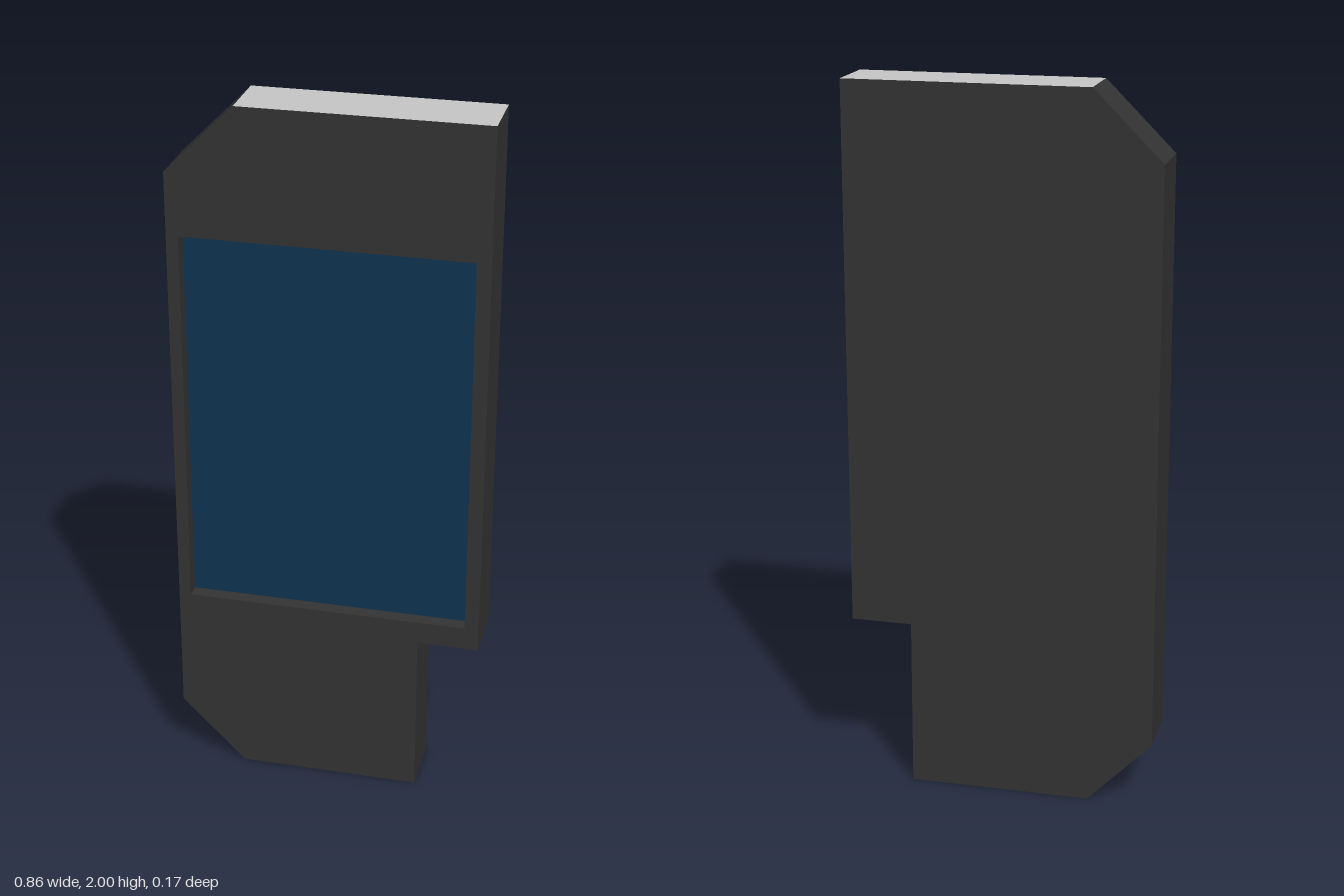
import * as THREE from 'three';
import { mergeGeometries } from 'three/addons/utils/BufferGeometryUtils.js';

const FRONT = 0.087, BACK = -0.087, RECESS = 0.047;

// Casing outline and screen opening, both counter-clockwise from the front
const outline = [
  [-0.25, 0], [0.26, 0], [0.26, 0.48], [0.432, 0.48],
  [0.432, 2], [-0.242, 2], [-0.432, 1.81], [-0.432, 0.185],
].map(([x, y]) => new THREE.Vector2(x, y));
const opening = [[-0.398, 0.545], [0.392, 0.545], [0.392, 1.635], [-0.398, 1.635]]
  .map(([x, y]) => new THREE.Vector2(x, y));
const TOP_EDGE = 4;

// Flat wall along edge a-b between two depths, facing right of its direction
function wall(a, b, z0, z1) {
  const g = new THREE.PlaneGeometry(a.distanceTo(b), z1 - z0);
  g.rotateX(Math.PI / 2).rotateX(Math.PI);
  const d = b.clone().sub(a).normalize();
  const m = new THREE.Matrix4().makeBasis(
    new THREE.Vector3(d.x, d.y, 0),
    new THREE.Vector3(-d.y, d.x, 0),
    new THREE.Vector3(0, 0, 1));
  m.setPosition((a.x + b.x) / 2, (a.y + b.y) / 2, (z0 + z1) / 2);
  // PlaneGeometry normal now lies along local y; keep it facing outward (-y)
  if (g.attributes.normal.getY(0) > 0) g.rotateX(Math.PI);
  return g.applyMatrix4(m);
}

export function createModel() {
  const model = new THREE.Group();
  const casing = new THREE.MeshStandardMaterial({ name: 'charcoal', color: 0x343434 });
  const glass = new THREE.MeshStandardMaterial({ name: 'deepBlue', color: 0x0f3553 });
  const cap = new THREE.MeshStandardMaterial({ name: 'lightGrey', color: 0xc8c8c8 });
  const add = (name, geometry, material) => {
    const mesh = new THREE.Mesh(geometry, material);
    mesh.name = name;
    model.add(mesh);
  };

  // Front panel with the screen opening
  const face = new THREE.Shape(outline);
  face.holes.push(new THREE.Path([...opening].reverse()));
  add('frontPanel', new THREE.ShapeGeometry(face).translate(0, 0, FRONT), casing);

  // Back panel, mirrored so it faces backwards
  const mirrored = new THREE.Shape(outline.map(p => new THREE.Vector2(-p.x, p.y)).reverse());
  add('backPanel', new THREE.ShapeGeometry(mirrored).rotateY(Math.PI).translate(0, 0, BACK), casing);

  // Side walls, with the top one in the lighter colour
  const walls = outline.map((p, i) => wall(p, outline[(i + 1) % outline.length], BACK, FRONT));
  const [top] = walls.splice(TOP_EDGE, 1);
  add('sideWalls', mergeGeometries(walls), casing);
  add('topCap', top, cap);

  // Inner walls of the screen recess
  const rim = opening.map((p, i) => wall(opening[(i + 1) % 4], p, RECESS, FRONT));
  add('screenRecess', mergeGeometries(rim), casing);

  // Sunken screen
  add('screen', new THREE.ShapeGeometry(new THREE.Shape(opening)).translate(0, 0, RECESS), glass);

  return model;
}
